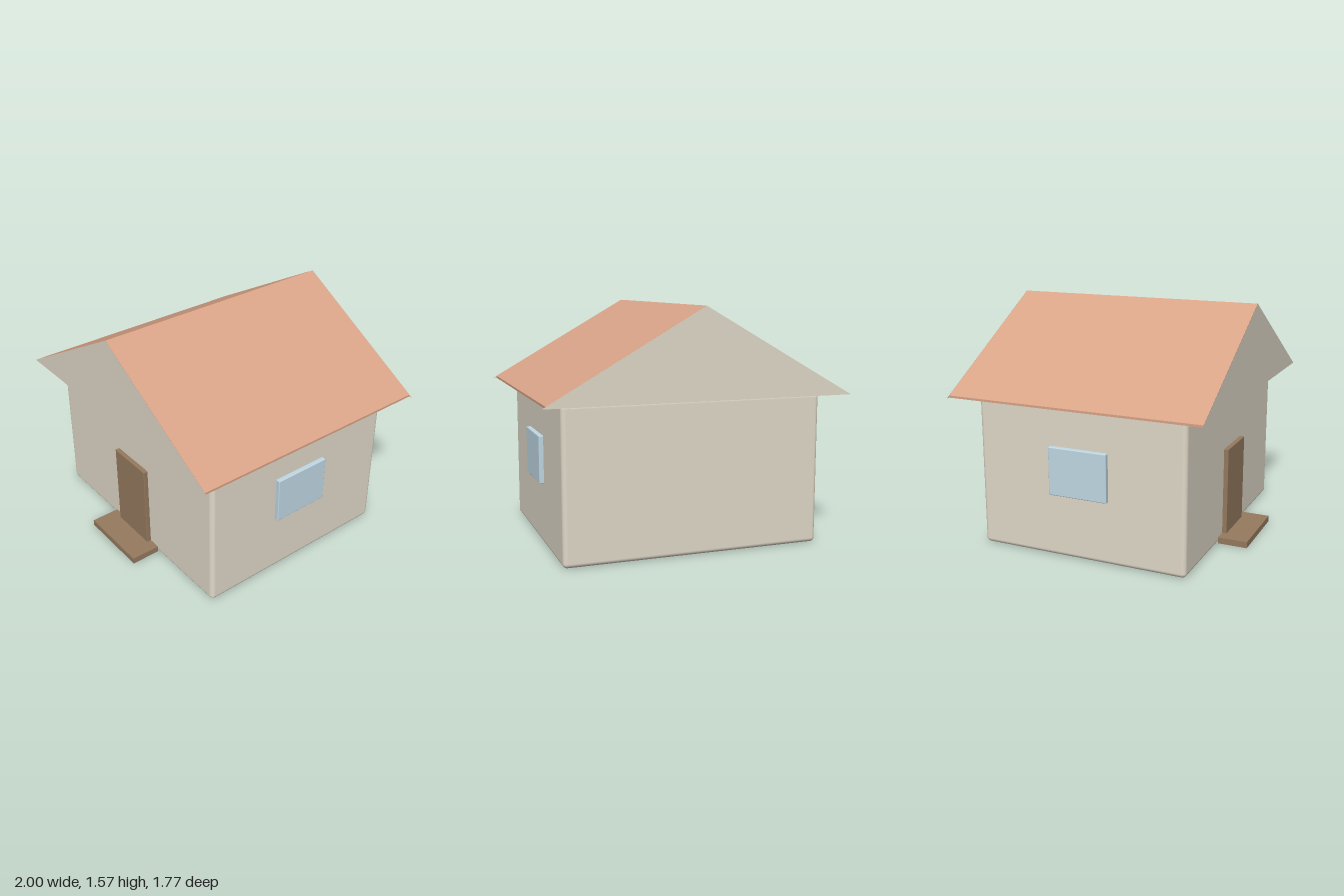
import * as THREE from 'three';
import { RoundedBoxGeometry } from 'three/addons/geometries/RoundedBoxGeometry.js';

const material = (color, options = {}) => new THREE.MeshStandardMaterial({ color, ...options });

export function createModel() {
  const house = new THREE.Group();
  house.name = 'house';

  const cream = material(0xe0d8c8);
  const gableCream = material(0xe0d8c8, { side: THREE.DoubleSide });
  const tile = material(0xd9a488);
  const wood = material(0x957a5f);
  const glass = material(0xc0d8e4);

  const midZ = -0.028; // centre of the house body in depth
  const wallFront = 0.684;
  const roofDepth = 1.708;
  const eaveY = 1.0;
  const ridgeY = 1.57;

  function add(name, geometry, mat, x, y, z) {
    const mesh = new THREE.Mesh(geometry, mat);
    mesh.name = name;
    mesh.position.set(x, y, z);
    house.add(mesh);
    return mesh;
  }

  // Walls with softly rounded edges
  add('walls', new RoundedBoxGeometry(1.71, 1, 1.424, 4, 0.03), cream, 0, 0.5, midZ);

  // Roof: solid prism with a thin upright edge along each eave
  const roofHalf = 0.975;
  const edgeY = eaveY + (ridgeY - eaveY) * (1 - roofHalf);
  const roofShape = new THREE.Shape([
    new THREE.Vector2(-roofHalf, eaveY),
    new THREE.Vector2(roofHalf, eaveY),
    new THREE.Vector2(roofHalf, edgeY),
    new THREE.Vector2(0, ridgeY),
    new THREE.Vector2(-roofHalf, edgeY),
  ]);
  const roof = new THREE.ExtrudeGeometry(roofShape, { depth: roofDepth, bevelEnabled: false });
  add('roof', roof, tile, 0, 0, midZ - roofDepth / 2);

  // Flat gable triangles closing both ends of the roof
  const gableShape = new THREE.Shape([
    new THREE.Vector2(-1, eaveY),
    new THREE.Vector2(1, eaveY),
    new THREE.Vector2(0, ridgeY),
  ]);
  for (const [name, side] of [['frontGable', 1], ['backGable', -1]]) {
    const gable = add(name, new THREE.ShapeGeometry(gableShape), gableCream,
      0, 0, midZ + side * (roofDepth / 2 + 0.001));
    if (side < 0) gable.rotation.y = Math.PI;
  }

  // Door and doorstep
  add('door', new RoundedBoxGeometry(0.34, 0.63, 0.04, 2, 0.004), wood, 0, 0.315, wallFront + 0.01);
  add('doorstep', new THREE.BoxGeometry(0.51, 0.042, 0.2), wood, 0, 0.021, wallFront + 0.1);

  // One window on each side wall
  for (const [name, side] of [['leftWindow', 1], ['rightWindow', -1]]) {
    add(name, new RoundedBoxGeometry(0.05, 0.315, 0.4, 2, 0.006), glass, side * 0.86, 0.574, midZ);
  }

  return house;
}
